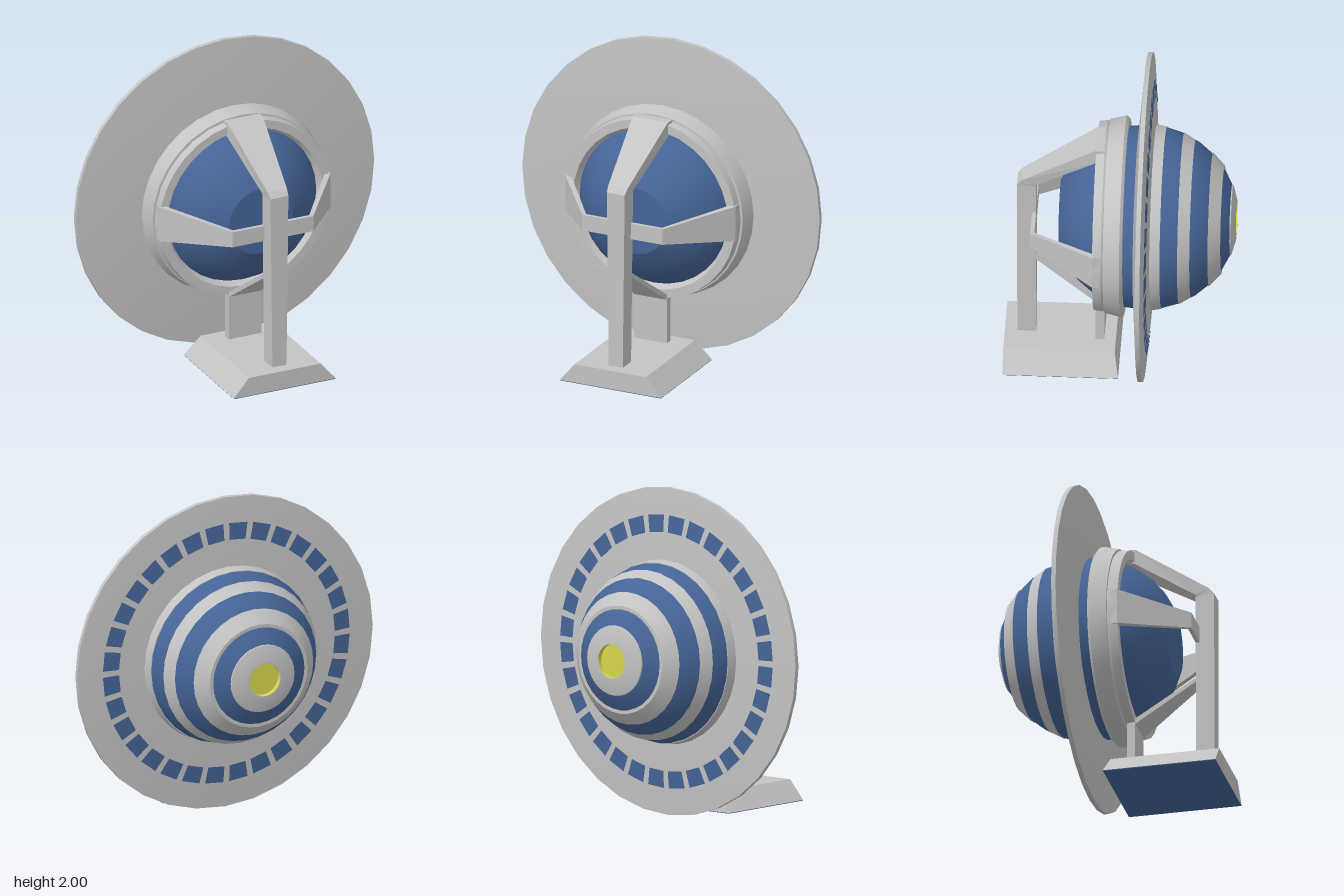
import * as THREE from 'three';
import { toCreasedNormals } from 'three/addons/utils/BufferGeometryUtils.js';

const SIDES = 32;
const AXIS_Y = 1;

const flat = (name, color) => {
  const m = new THREE.MeshStandardMaterial({ color });
  m.name = name;
  return m;
};

// Revolves [radius, z] points round the z axis.
function turned(points, closed = true, phi = 0, length = Math.PI * 2, sides = SIDES) {
  const pts = points.map(([r, z]) => new THREE.Vector2(r, z));
  if (closed) pts.push(pts[0].clone());
  const geo = new THREE.LatheGeometry(pts, sides, phi, length).rotateX(Math.PI / 2);
  return toCreasedNormals(geo, 0.4);
}

// Joins four-cornered sections into a closed, flat-sided body.
function loft(sections) {
  const tris = [];
  const quad = (a, b, c, d) => tris.push([a, b, c], [a, c, d]);
  for (let s = 0; s < sections.length - 1; s++) {
    const p = sections[s], q = sections[s + 1];
    for (let i = 0; i < 4; i++) {
      const j = (i + 1) % 4;
      quad(p[i], p[j], q[j], q[i]);
    }
  }
  const first = sections[0], last = sections[sections.length - 1];
  quad(first[3], first[2], first[1], first[0]);
  quad(last[0], last[1], last[2], last[3]);
  // Turn the faces outward when the enclosed volume is negative
  let volume = 0;
  for (const [a, b, c] of tris) {
    volume += new THREE.Vector3(...a).dot(new THREE.Vector3(...b).cross(new THREE.Vector3(...c)));
  }
  if (volume < 0) tris.forEach((t) => t.reverse());
  const geo = new THREE.BufferGeometry();
  geo.setAttribute('position', new THREE.Float32BufferAttribute(tris.flat(2), 3));
  geo.computeVertexNormals();
  return geo;
}

// Section symmetric in x: half width, outer [y, z], inner [y, z].
const across = ([w, [yo, zo], [yi, zi]]) => [[-w, yo, zo], [w, yo, zo], [w, yi, zi], [-w, yi, zi]];
// Section symmetric in height: half height, outer [x, z], inner [x, z].
const upright = ([h, [xo, zo], [xi, zi]]) => [
  [xo, AXIS_Y - h, zo], [xo, AXIS_Y + h, zo], [xi, AXIS_Y + h, zi], [xi, AXIS_Y - h, zi],
];

export function createModel() {
  const model = new THREE.Group();
  model.name = 'ringedPod';
  const grey = flat('light grey', 0xc3c3c3);
  const blue = flat('blue', 0x456496);
  const yellow = flat('yellow', 0xd6d64a);

  const add = (parent, name, geo, mat) => {
    const mesh = new THREE.Mesh(geo, mat);
    mesh.name = name;
    parent.add(mesh);
  };

  // Turned parts share the horizontal axis
  const pod = new THREE.Group();
  pod.name = 'pod';
  pod.position.y = AXIS_Y;
  model.add(pod);

  // Globe with a flat front
  const globe = [];
  for (let i = 14; i >= 2; i--) {
    const a = (i * Math.PI) / 16;
    globe.push([0.56 * Math.sin(a), -0.15 + 0.56 * Math.cos(a)]);
  }
  globe.push([0, globe[globe.length - 1][1]]);
  add(pod, 'globe', turned(globe, false), blue);

  // Saucer disc
  add(pod, 'disc', turned([
    [0.53, -0.2], [0.57, -0.2], [1, -0.164], [1, -0.136], [0.57, -0.1], [0.53, -0.1],
  ]), grey);

  // Windows round the back of the disc
  const windows = new THREE.Group();
  windows.name = 'discWindows';
  pod.add(windows);
  const backZ = (r) => -0.203 + ((r - 0.57) * 0.036) / 0.43;
  const pitch = (Math.PI * 2) / SIDES;
  for (let i = 0; i < SIDES; i++) {
    const pane = turned([[0.73, backZ(0.73)], [0.835, backZ(0.835)]], false, (i + 0.12) * pitch, 0.76 * pitch, 1);
    add(windows, 'window', pane, blue);
  }

  // Bands over the back: front radius and z, rear radius and z
  const bands = [
    [0.565, -0.19, 0.553, -0.262],
    [0.52, -0.367, 0.465, -0.46],
    [0.405, -0.545, 0.33, -0.617],
  ];
  for (const [r1, z1, r2, z2] of bands) {
    add(pod, 'backBand', turned([[r2 - 0.05, z2], [r2, z2], [r1, z1], [r1 - 0.05, z1]]), grey);
  }

  // Rear cap with a recessed lamp
  add(pod, 'rearCap', turned([
    [0.104, -0.66], [0.104, -0.7], [0.12, -0.7], [0.213, -0.674], [0.22, -0.655],
  ]), grey);
  add(pod, 'rearLamp', turned([[0, -0.672], [0.103, -0.672], [0.103, -0.699]], false), yellow);

  // Collar and front rim
  add(pod, 'collar', turned([
    [0.52, -0.037], [0.595, -0.037], [0.612, -0.02], [0.588, 0.08], [0.52, 0.083],
  ]), grey);
  add(pod, 'frontRim', turned([
    [0.48, 0.07], [0.565, 0.07], [0.58, 0.092], [0.573, 0.145], [0.52, 0.145],
  ]), grey);

  // Front post bending back to the top of the rim
  add(model, 'frontPost', loft([
    [0.047, [0.13, 0.625], [0.13, 0.51]],
    [0.06, [1.265, 0.625], [1.25, 0.51]],
    [0.065, [1.3, 0.595], [1.265, 0.51]],
    [0.118, [1.58, 0.15], [1.49, 0.14]],
    [0.122, [1.58, 0.095], [1.49, 0.095]],
  ].map(across)), grey);

  // Crossbar wrapping from rim to rim
  const bar = [
    [0.115, [0.572, 0.1], [0.52, 0.1]],
    [0.112, [0.572, 0.145], [0.53, 0.145]],
    [0.05, [0.27, 0.535], [0.255, 0.51]],
  ];
  const mirrored = bar.map(([h, [xo, zo], [xi, zi]]) => [h, [-xo, zo], [-xi, zi]]).reverse();
  add(model, 'crossbar', loft([...bar, ...mirrored].map(upright)), grey);

  // Lower brace and rear leg
  add(model, 'lowerBrace', loft([
    [0.05, [0.705, 0.53], [0.735, 0.53]],
    [0.11, [0.42, 0.14], [0.455, 0.14]],
  ].map(across)), grey);
  add(model, 'rearLeg', loft([
    [0.11, [0.13, 0.147], [0.13, 0.095]],
    [0.11, [0.44, 0.147], [0.44, 0.095]],
  ].map(across)), grey);

  // Base with sloping sides, and its underside plate
  const slab = (y, w, zf, zb) => [[-w, y, zf], [w, y, zf], [w, y, zb], [-w, y, zb]];
  add(model, 'base', loft([slab(0.025, 0.342, 0.7, 0), slab(0.143, 0.24, 0.7, 0.025)]), grey);
  add(model, 'baseUnderside', loft([slab(0.021, 0.34, 0.699, 0.001), slab(0.026, 0.34, 0.699, 0.001)]), blue);

  return model;
}
